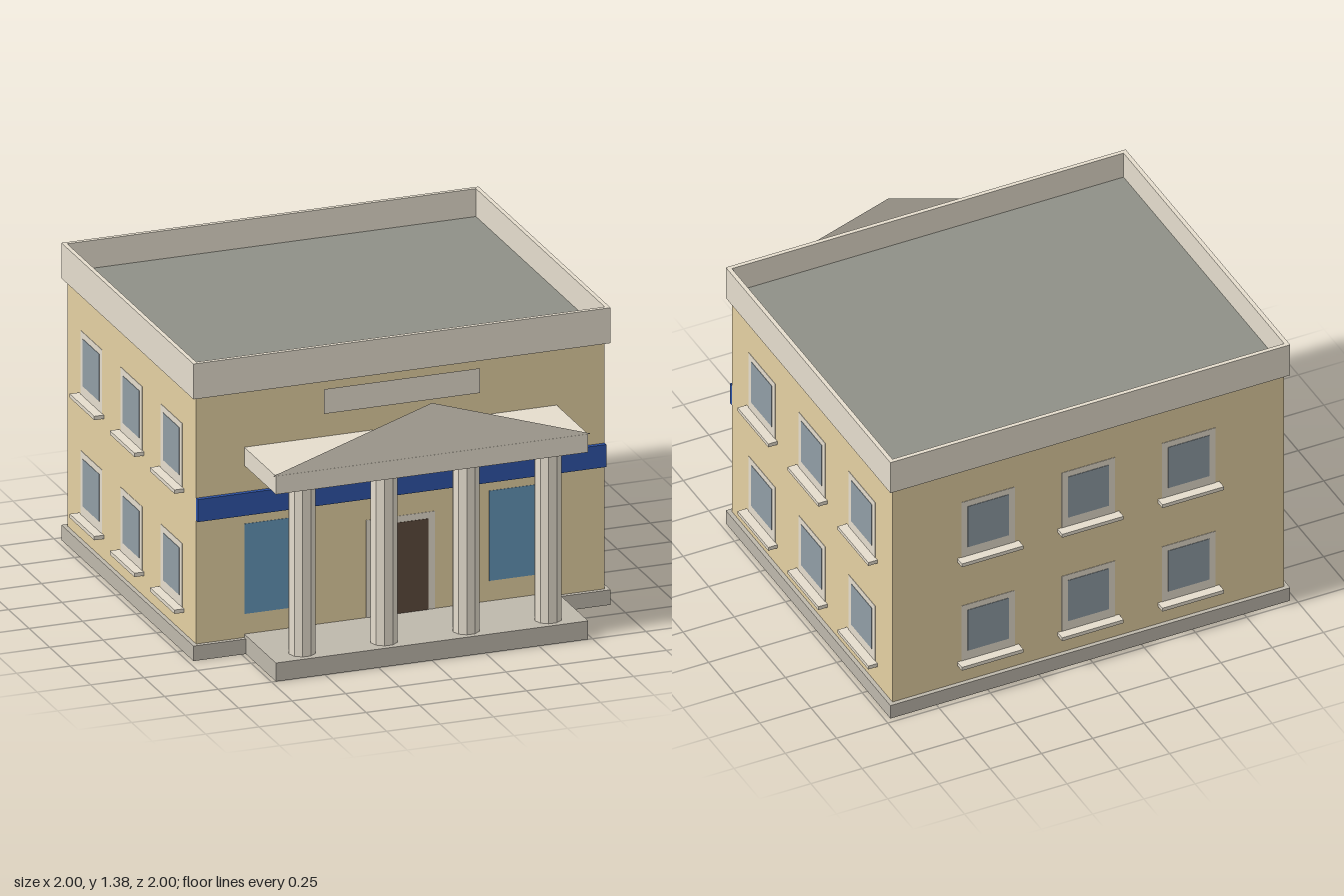
import * as THREE from 'three';

const material = (name, color, side = THREE.FrontSide) => {
  const m = new THREE.MeshStandardMaterial({ color, side });
  m.name = name;
  return m;
};

export function createModel() {
  const wall = material('tan wall', 0xe4d0a2);
  const cream = material('cream trim', 0xe5ddcd, THREE.DoubleSide);
  const stone = material('grey stone', 0xbeb8ac, THREE.DoubleSide);
  const roofGrey = material('roof grey', 0x8f9087);
  const bandBlue = material('band blue', 0x2e54a8);
  const windowBlue = material('window blue', 0x6495b8);
  const glass = material('grey glass', 0x909da5);
  const wood = material('door brown', 0x5e4a3c);

  const model = new THREE.Group();
  model.name = 'columnedBuilding';

  const add = (parent, name, geometry, mat) => {
    const mesh = new THREE.Mesh(geometry, mat);
    mesh.name = name;
    parent.add(mesh);
    return mesh;
  };
  // Box given by its limits on each axis
  const box = (parent, name, mat, x0, x1, y0, y1, z0, z1) => {
    const g = new THREE.BoxGeometry(x1 - x0, y1 - y0, z1 - z0);
    g.translate((x0 + x1) / 2, (y0 + y1) / 2, (z0 + z1) / 2);
    return add(parent, name, g, mat);
  };
  // The same box, open underneath
  const openBox = (...args) => {
    const g = box(...args).geometry;
    g.setIndex(Array.from(g.index.array).filter((_, i) => i < 18 || i >= 24));
    g.clearGroups();
  };

  // Main block on a hollow plinth
  const X = 0.955, BACK = -0.955, FRONT = 0.615, LIP = 0.02;
  openBox(model, 'plinth', stone, -X - LIP, X + LIP, 0, 0.07, BACK - LIP, FRONT + LIP);
  openBox(model, 'walls', wall, -X, X, 0.07, 1.22, BACK, FRONT);
  box(model, 'roof', roofGrey, -X, X, 1.22, 1.255, BACK, FRONT);

  // Parapet ring around the roof
  const rect = (shape, x, z0, z1) => {
    shape.moveTo(-x, -z1);
    shape.lineTo(x, -z1);
    shape.lineTo(x, -z0);
    shape.lineTo(-x, -z0);
    shape.closePath();
    return shape;
  };
  const ring = rect(new THREE.Shape(), X + LIP, BACK - LIP, FRONT + LIP);
  ring.holes.push(rect(new THREE.Path(), X, BACK, FRONT));
  const parapet = new THREE.ExtrudeGeometry(ring, { depth: 0.165, bevelEnabled: false });
  parapet.rotateX(-Math.PI / 2).translate(0, 1.22, 0);
  add(model, 'parapet', parapet, cream);

  // Front wall details
  box(model, 'blueBand', bandBlue, -X, X, 0.645, 0.75, FRONT, FRONT + LIP);
  const panel = new THREE.PlaneGeometry(0.73, 0.115);
  panel.translate(0, 1.1275, FRONT + LIP);
  add(model, 'frontPanel', panel, cream);
  box(model, 'doorFrame', cream, -0.16, 0.16, 0.07, 0.54, FRONT, FRONT + 0.002);
  box(model, 'door', wood, -0.13, 0.13, 0.07, 0.51, FRONT, FRONT + 0.004);
  for (const s of [-1, 1]) {
    box(model, 'frontWindow', windowBlue, s * 0.5725 - 0.1575, s * 0.5725 + 0.1575,
      0.18, 0.6, FRONT, FRONT + 0.002);
  }

  // Portico: hollow base, ten-sided columns, slab and flat pediment
  const portico = new THREE.Group();
  portico.name = 'portico';
  model.add(portico);
  openBox(portico, 'porticoBase', stone, -0.73, 0.73, 0, 0.086, FRONT, 1);
  box(portico, 'porticoSlab', cream, -0.73, 0.73, 0.872, 0.957, FRONT, 1);
  const column = new THREE.CylinderGeometry(0.0615, 0.0615, 0.786, 10, 1, true, Math.PI / 2)
    .toNonIndexed();
  column.computeVertexNormals();
  for (const x of [-0.575, -0.192, 0.192, 0.575]) {
    add(portico, 'column', column, cream).position.set(x, 0.479, 0.914);
  }
  const gable = new THREE.Shape();
  gable.moveTo(-0.745, 0.957);
  gable.lineTo(0.745, 0.957);
  gable.lineTo(0, 1.2);
  gable.closePath();
  add(portico, 'pediment', new THREE.ShapeGeometry(gable), cream).position.z = 0.999;

  // Small window, built facing +z with its wall at z = 0
  const smallWindow = (parent, x, y) => {
    const w = new THREE.Group();
    w.name = 'smallWindow';
    w.position.set(x, y, 0);
    parent.add(w);
    box(w, 'windowFrame', cream, -0.13, 0.13, 0.018, 0.315, 0, 0.002);
    box(w, 'windowGlass', glass, -0.1, 0.1, 0.065, 0.285, 0, 0.004);
    box(w, 'windowSill', cream, -0.15, 0.15, 0, 0.018, 0, 0.045);
  };

  // Two rows of three windows on each side and the back
  const midZ = (BACK + FRONT) / 2;
  const facades = [
    ['leftWindows', X, midZ, Math.PI / 2],
    ['rightWindows', -X, midZ, -Math.PI / 2],
    ['backWindows', 0, BACK, Math.PI],
  ];
  for (const [name, x, z, turn] of facades) {
    const facade = new THREE.Group();
    facade.name = name;
    facade.position.set(x, 0, z);
    facade.rotation.y = turn;
    model.add(facade);
    for (const y of [0.165, 0.725]) {
      for (const i of [-1, 0, 1]) smallWindow(facade, i * 0.489, y);
    }
  }

  return model;
}
